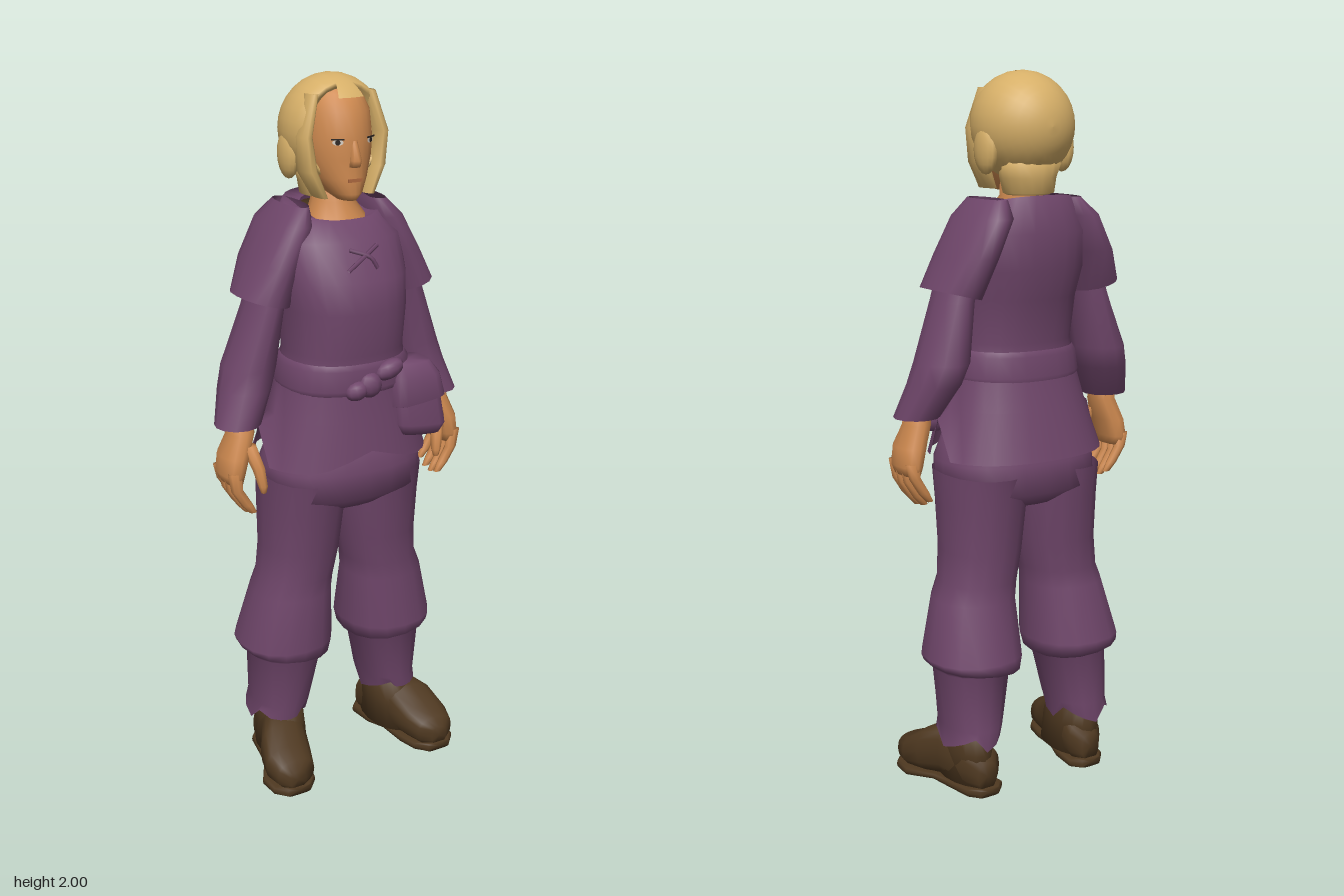
import * as THREE from 'three';

const mat = (name, color, side = THREE.FrontSide) => {
  const m = new THREE.MeshStandardMaterial({ color, side });
  m.name = name;
  return m;
};

// Skin over horizontal rings, listed top to bottom:
// [y, xMin, xMax, zMin, zMax, slopeX = 0, slopeZ = 0]
function loft(rings, { n = 16, e = 1, s = 1, caps = true, tweak } = {}) {
  const pos = [], idx = [];
  const pw = v => Math.sign(v) * Math.abs(v) ** e;
  const tri = (a, b, c) => (s > 0 ? idx.push(a, b, c) : idx.push(a, c, b));
  rings.forEach(([y, x0, x1, z0, z1, sx = 0, sz = 0], i) => {
    for (let j = 0; j < n; j++) {
      const a = (j / n) * Math.PI * 2;
      const dx = pw(Math.cos(a)) * (x1 - x0) / 2, dz = pw(Math.sin(a)) * (z1 - z0) / 2;
      const p = new THREE.Vector3((x0 + x1) / 2 + dx, y + sx * dx + sz * dz, (z0 + z1) / 2 + dz);
      if (tweak) tweak(p, i, j);
      pos.push(p.x * s, p.y, p.z);
    }
  });
  const last = rings.length - 1;
  for (let i = 0; i < last; i++) for (let j = 0; j < n; j++) {
    const k = (j + 1) % n, a = i * n + j, b = i * n + k;
    tri(a, b, a + n);
    tri(b, b + n, a + n);
  }
  if (caps) for (const [i, top] of [[0, true], [last, false]]) {
    const [y, x0, x1, z0, z1] = rings[i], c = pos.length / 3;
    pos.push(s * (x0 + x1) / 2, y, (z0 + z1) / 2);
    for (let j = 0; j < n; j++) {
      const a = i * n + j, b = i * n + (j + 1) % n;
      if (top) tri(c, b, a); else tri(c, a, b);
    }
  }
  const g = new THREE.BufferGeometry();
  g.setAttribute('position', new THREE.Float32BufferAttribute(pos, 3));
  g.setIndex(idx);
  g.computeVertexNormals();
  return g;
}

// Ring centred on x = 0
const sym = (y, w, z0, z1, sz = 0) => [y, -w, w, z0, z1, 0, sz];

export function createModel() {
  const root = new THREE.Group();
  root.name = 'figure';
  const cloth = mat('purpleCloth', 0x6f466a, THREE.DoubleSide);
  const skin = mat('skin', 0xcf8a50);
  const hair = mat('blondHair', 0xd6af68, THREE.DoubleSide);
  const leather = mat('brownLeather', 0x4e3820);
  const dark = mat('darkEye', 0x2a2320);
  const white = mat('eyeWhite', 0xd8cfc4);
  const lip = mat('lip', 0xb06a40);
  const add = (name, geo, m, parent = root) => {
    const mesh = new THREE.Mesh(geo, m);
    mesh.name = name;
    parent.add(mesh);
    return mesh;
  };

  // Tunic with a flared skirt, slit at both sides
  add('tunic', loft([
    sym(1.64, 0.078, -0.135, 0.055, -0.25), sym(1.655, 0.125, -0.165, 0.07, -0.2),
    sym(1.58, 0.18, -0.185, 0.115), sym(1.48, 0.18, -0.178, 0.163), sym(1.4, 0.17, -0.155, 0.18),
    sym(1.28, 0.165, -0.13, 0.163), sym(1.22, 0.175, -0.135, 0.16),
    sym(1.1, 0.205, -0.165, 0.175), sym(0.965, 0.25, -0.197, 0.185),
  ], {
    n: 28, e: 0.85, caps: false,
    tweak: (p, i, j) => {
      if (i === 8 && j % 14 === 0) p.y += 0.11;
      if (i === 8 && p.z > 0.1) p.y += 0.05 * Math.max(0, 1 - Math.abs(p.x) / 0.15);
    },
  }), cloth);
  add('innerCollar', loft([sym(1.635, 0.085, -0.14, -0.01, -0.25), sym(1.6, 0.085, -0.14, -0.01)]), leather);
  add('sash', loft([
    sym(1.26, 0.168, -0.135, 0.165), sym(1.245, 0.18, -0.143, 0.173),
    sym(1.19, 0.188, -0.148, 0.175), sym(1.175, 0.182, -0.145, 0.168),
  ], { n: 28, e: 0.85, caps: false }), cloth);

  // Sash knot with two loops
  for (const [x, y, rx, ry, tilt] of [[0, 1.2, 0.035, 0.035, 0], [-0.04, 1.19, 0.035, 0.026, 0.3], [0.06, 1.235, 0.045, 0.026, 0.35]]) {
    const k = add('sashKnot', new THREE.SphereGeometry(1, 10, 8), cloth);
    k.position.set(x, y, 0.17);
    k.scale.set(rx, ry, 0.025);
    k.rotation.z = tilt;
  }

  // Belt pouch and its flap
  add('pouch', loft([
    [1.21, 0.1, 0.21, 0.06, 0.165], [1.18, 0.085, 0.23, 0.05, 0.18],
    [1.06, 0.085, 0.25, 0.05, 0.192, -0.1], [1.03, 0.1, 0.235, 0.06, 0.18, -0.1],
  ], { n: 16, e: 0.55 }), cloth);
  add('pouchFlap', loft([
    [1.235, 0.1, 0.205, 0.07, 0.165], [1.2, 0.08, 0.23, 0.055, 0.188],
    [1.13, 0.072, 0.245, 0.05, 0.197, 0.1], [1.122, 0.085, 0.235, 0.06, 0.18, 0.1],
  ], { n: 16, e: 0.55 }), cloth);

  // Chest lacing
  for (const pts of [[[-0.055, 1.515, 0.15], [-0.02, 1.54, 0.15], [0.045, 1.57, 0.125]], [[-0.04, 1.565, 0.127], [0.01, 1.545, 0.15], [0.03, 1.515, 0.153]]])
    add('chestTie', new THREE.TubeGeometry(new THREE.CatmullRomCurve3(pts.map(p => new THREE.Vector3(...p))), 8, 0.006, 5), cloth);

  // Trousers seat
  add('trouserSeat', loft([
    sym(1.05, 0.19, -0.145, 0.15), sym(0.95, 0.23, -0.175, 0.178),
    sym(0.87, 0.232, -0.178, 0.168), sym(0.825, 0.13, -0.12, 0.11),
  ], { n: 24, e: 0.85 }), cloth);

  for (const s of [1, -1]) {
    const side = s > 0 ? 'left' : 'right';

    // Trouser leg with a knee overhang and ragged cuff
    add(side + 'TrouserLeg', loft([
      [0.92, 0.005, 0.235, -0.17, 0.15], [0.83, 0.004, 0.236, -0.155, 0.13], [0.7, 0.014, 0.236, -0.14, 0.11],
      [0.61, 0.03, 0.245, -0.135, 0.098], [0.56, 0.035, 0.265, -0.14, 0.1], [0.4, 0.028, 0.305, -0.18, 0.105],
      [0.37, 0.04, 0.298, -0.183, 0.103, 0.1], [0.36, 0.062, 0.272, -0.145, 0.078],
      [0.2, 0.1, 0.262, -0.155, 0.06], [0.14, 0.108, 0.27, -0.155, 0.055],
    ], { s, e: 0.9, caps: false, tweak: (p, i, j) => { if (i === 9) p.y += (j * 7 % 4) * 0.014; } }), cloth);

    // Boot: shaft, foot swept heel to toe, and sole
    add(side + 'BootShaft', loft([
      [0.195, 0.118, 0.25, -0.13, 0.045], [0.12, 0.12, 0.25, -0.135, 0.075], [0.03, 0.118, 0.25, -0.14, 0.09],
    ], { s }), leather);
    add(side + 'BootFoot', loft([
      [0.19, 0.215, 0.265, -0.075, -0.02], [0.17, 0.178, 0.295, -0.1, -0.016], [0.12, 0.16, 0.308, -0.118, -0.015],
      [0.06, 0.145, 0.295, -0.16, -0.015], [0, 0.13, 0.262, -0.18, -0.02], [-0.11, 0.122, 0.235, -0.13, -0.015],
      [-0.14, 0.15, 0.21, -0.1, -0.02],
    ], { s, e: 0.75 }).rotateX(Math.PI / 2), leather);
    add(side + 'BootSole', loft([
      [0.192, 0.2, 0.275, -0.026, 0], [0.16, 0.17, 0.305, -0.026, 0], [0.1, 0.155, 0.31, -0.026, 0],
      [0.02, 0.145, 0.265, -0.026, -0.008], [-0.04, 0.125, 0.25, -0.026, -0.002], [-0.12, 0.118, 0.235, -0.026, 0],
      [-0.147, 0.145, 0.21, -0.026, 0],
    ], { s, e: 0.4 }).rotateX(Math.PI / 2), leather);

    // Short outer sleeve over a long sleeve
    add(side + 'ShortSleeve', loft([
      [1.668, 0.09, 0.145, -0.14, 0.035], [1.62, 0.08, 0.195, -0.18, 0.065],
      [1.52, 0.12, 0.25, -0.175, 0.07], [1.42, 0.155, 0.292, -0.14, 0.07, 0.25],
    ], { s, e: 0.9, caps: false }), cloth);
    add(side + 'LongSleeve', loft([
      [1.5, 0.14, 0.24, -0.11, 0.05], [1.4, 0.165, 0.27, -0.115, 0.05], [1.24, 0.185, 0.33, -0.13, 0.045],
      [1.18, 0.205, 0.348, -0.115, 0.05], [1.09, 0.25, 0.377, -0.065, 0.062],
    ], { s, n: 12, caps: false }), cloth);

    // Hand
    const hand = new THREE.Group();
    hand.name = side + 'Hand';
    root.add(hand);
    add('palm', loft([
      [1.13, 0.275, 0.34, -0.035, 0.04], [1.07, 0.275, 0.345, -0.04, 0.05], [1.01, 0.295, 0.37, -0.055, 0.067],
      [0.96, 0.31, 0.375, -0.058, 0.067], [0.935, 0.318, 0.365, -0.05, 0.06],
    ], { s, n: 12, e: 0.85 }), skin, hand);
    [-0.056, -0.025, 0.006, 0.037].forEach((z, i) => {
      const y = [0.02, 0.005, 0, 0.008][i];
      add('finger', loft([
        [0.97, 0.33, 0.372, z, z + 0.03], [0.91 + y, 0.327, 0.362, z, z + 0.029],
        [0.865 + y, 0.3, 0.333, z + 0.003, z + 0.028], [0.84 + y, 0.288, 0.31, z + 0.008, z + 0.024],
      ], { s, n: 8 }), skin, hand);
    });
    add('thumb', loft([
      [1.04, 0.28, 0.325, 0.015, 0.06], [0.98, 0.268, 0.305, 0.045, 0.085],
      [0.93, 0.265, 0.292, 0.06, 0.09], [0.91, 0.27, 0.285, 0.068, 0.085],
    ], { s, n: 8 }), skin, hand);

    // Hair beside the face and coiled over the ear
    add(side + 'HairLock', loft([
      [1.955, 0.07, 0.1, -0.02, 0.035], [1.85, 0.095, 0.133, -0.02, 0.052],
      [1.76, 0.08, 0.125, -0.03, 0.055], [1.69, 0.055, 0.085, -0.02, 0.06],
    ], { s, n: 10 }), hair);
    const bun = add(side + 'HairCoil', new THREE.SphereGeometry(1, 14, 10), hair);
    bun.position.set(s * 0.122, 1.795, -0.053);
    bun.scale.set(0.025, 0.065, 0.045);

    // Eye and brow
    const eye = new THREE.Group();
    eye.name = side + 'Eye';
    eye.position.set(s * 0.048, 1.838, 0.08);
    eye.rotation.y = s * 0.55;
    root.add(eye);
    add('eyeWhite', new THREE.CircleGeometry(0.015, 12).scale(1, 0.5, 1), white, eye);
    add('iris', new THREE.CircleGeometry(0.007, 10).translate(0, 0, 0.002), dark, eye);
    add('lashLine', new THREE.BoxGeometry(0.034, 0.004, 0.003).translate(0, 0.008, 0.002), dark, eye);
  }

  // Head, neck and face
  add('neck', loft([
    sym(1.75, 0.055, -0.09, 0.02), sym(1.67, 0.058, -0.1, 0.025),
    sym(1.625, 0.085, -0.09, 0.055), sym(1.58, 0.09, -0.09, 0.065),
  ]), skin);
  add('head', loft([
    sym(1.978, 0.035, -0.07, 0.0), sym(1.955, 0.07, -0.1, 0.048), sym(1.91, 0.088, -0.12, 0.078),
    sym(1.84, 0.093, -0.12, 0.088), sym(1.79, 0.088, -0.11, 0.086), sym(1.74, 0.07, -0.09, 0.088),
    sym(1.7, 0.045, -0.05, 0.09), sym(1.682, 0.024, 0, 0.078),
  ], { n: 24 }), skin);
  add('nose', loft([
    sym(1.84, 0.008, 0.07, 0.09), sym(1.79, 0.016, 0.07, 0.108), sym(1.772, 0.016, 0.07, 0.098),
  ], { n: 8 }), skin);
  add('mouth', new THREE.BoxGeometry(0.04, 0.009, 0.006).translate(0, 1.737, 0.086), lip);

  // Hair shell open at the face, nape and fringe
  const shell = [[0, -0.145]];
  for (let i = 1; i <= 12; i++) {
    const a = -Math.PI / 2 + i * 0.172;
    shell.push([0.145 * Math.cos(a), 0.145 * Math.sin(a)]);
  }
  shell.push([0.118, 0.07], [0.092, 0.045]);
  add('hairShell', new THREE.LatheGeometry(shell.map(p => new THREE.Vector2(...p)), 28)
    .rotateX(Math.PI / 2).scale(0.97, 1, 1).translate(0, 1.855, -0.042), hair);
  add('hairNape', loft([
    sym(1.77, 0.095, -0.15, -0.02), sym(1.72, 0.08, -0.142, 0.0), sym(1.68, 0.072, -0.138, -0.01), sym(1.675, 0.06, -0.12, -0.02),
  ]), hair);
  add('fringe', new THREE.SphereGeometry(0.148, 8, 8, Math.PI / 2 - 0.33, 0.66, 0.15, 0.72)
    .translate(0, 1.852, -0.042), hair);

  return root;
}
